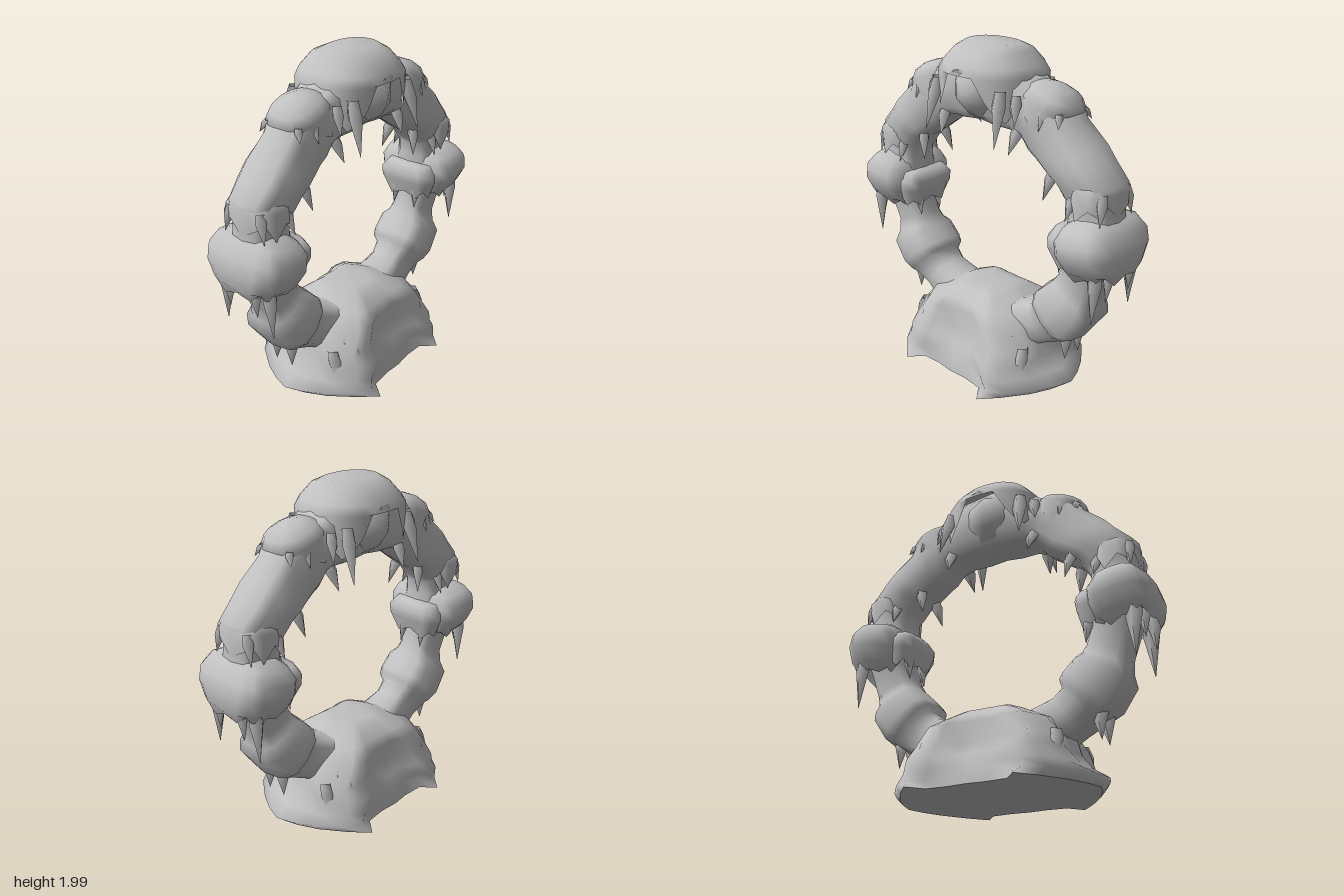
import * as THREE from 'three';
import { mergeVertices } from 'three/addons/utils/BufferGeometryUtils.js';

const stone = new THREE.MeshStandardMaterial({ color: 0xc0c0c0, side: THREE.DoubleSide });
stone.name = 'pale grey';

// Skin over rings of points; a repeated ring gives a sharp edge
function loft(rings, closed = false) {
  const n = rings[0].length, idx = [];
  const last = closed ? rings.length : rings.length - 1;
  for (let i = 0; i < last; i++) for (let j = 0; j < n; j++) {
    const i2 = (i + 1) % rings.length, j2 = (j + 1) % n;
    const a = i * n + j, b = i * n + j2, c = i2 * n + j2, d = i2 * n + j;
    idx.push(a, d, c, a, c, b);
  }
  const g = new THREE.BufferGeometry();
  g.setAttribute('position', new THREE.Float32BufferAttribute(rings.flat(2), 3));
  g.setIndex(idx);
  g.computeVertexNormals();
  return g;
}

// Lumpy rounded mass
function lump(rx, ry, rz, seed, rough) {
  let g = new THREE.IcosahedronGeometry(1, 1);
  g.deleteAttribute('uv');
  g.deleteAttribute('normal');
  g = mergeVertices(g, 1e-3);
  const p = g.attributes.position;
  for (let i = 0; i < p.count; i++) {
    const x = p.getX(i), y = p.getY(i), z = p.getZ(i);
    const k = 1 + rough * (Math.sin(5 * x + seed) + Math.sin(4 * y + 2 * seed) * Math.cos(5 * z + seed));
    p.setXYZ(i, x * k * rx, y * k * ry, z * k * rz);
  }
  g.computeVertexNormals();
  return g;
}

const sp = (v, e) => Math.sign(v) * Math.abs(v) ** e;

// Snow cap: levels of [y, half x, half z], with a jagged hem; a lower e is squarer
function cap(levels, drops, n, e = 0.75) {
  return loft(levels.map(([y, hx, hz], k) => Array.from({ length: n }, (_, j) => {
    const a = j / n * Math.PI * 2;
    const hem = k === 0 ? drops[j % drops.length] : 0;
    return [hx * sp(Math.cos(a), e), y - hem, hz * sp(Math.sin(a), e)];
  })));
}

// Icicle: four-sided spindle from a buried root to its tip
function icicleGeometry(root, tip, r) {
  const ring = (t, rad) => [0, 1, 2, 3].map((k) => {
    const a = k * Math.PI / 2;
    return [
      root[0] + (tip[0] - root[0]) * t + rad * Math.cos(a),
      root[1] + (tip[1] - root[1]) * t,
      root[2] + (tip[2] - root[2]) * t + rad * Math.sin(a),
    ];
  });
  return loft([ring(1, 0), ring(0.3, r), ring(0, r * 0.8)]);
}

export function createModel() {
  const group = new THREE.Group();
  const add = (name, geo, x = 0, y = 0, z = 0, parent = group) => {
    const m = new THREE.Mesh(geo, stone);
    m.name = name;
    m.position.set(x, y, z);
    parent.add(m);
    return m;
  };

  // Ring with its bulges: [degrees from the top, inner radius, outer radius, half depth]
  const half = [
    [0, 0.54, 0.96, 0.18], [12, 0.54, 0.95, 0.18], [22, 0.57, 0.89, 0.16], [30, 0.58, 0.91, 0.15],
    [38, 0.56, 0.93, 0.16], [43, 0.565, 0.9, 0.15], [54, 0.595, 0.92, 0.165], [60, 0.63, 0.93, 0.165],
    [67.5, 0.64, 0.975, 0.15], [71, 0.65, 0.94, 0.13], [78, 0.63, 0.92, 0.13], [90, 0.6, 0.92, 0.16],
    [100, 0.62, 0.88, 0.13], [111, 0.605, 0.87, 0.115], [116, 0.6, 0.89, 0.135], [120, 0.585, 0.935, 0.18],
    [130, 0.565, 0.935, 0.185], [134.5, 0.57, 0.91, 0.17], [137, 0.61, 0.9, 0.14], [144, 0.61, 0.88, 0.125],
    [160, 0.59, 0.88, 0.16], [180, 0.54, 0.9, 0.18],
  ];
  const stations = [...half, ...half.slice(1, -1).reverse().map(([a, ...r]) => [360 - a, ...r])];
  add('ring', loft(stations.map(([deg, ri, ro, hz]) => Array.from({ length: 12 }, (_, j) => {
    const t = deg * Math.PI / 180, f = j / 12 * Math.PI * 2;
    const r = (ri + ro) / 2 + (ro - ri) / 2 * sp(Math.cos(f), 0.7);
    return [Math.sin(t) * r, 1 + Math.cos(t) * r, -hz * sp(Math.sin(f), 0.7)];
  })), true));

  // Base mound: a quarter outline mirrored round, shrinking upward
  const q = [[0.64, 0], [0.61, 0.1], [0.55, 0.22], [0.44, 0.37], [0.34, 0.48], [0.26, 0.39], [0.12, 0.38], [0, 0.39]];
  const top = [...q, ...q.slice(0, -1).reverse().map(([x, z]) => [-x, z])];
  const outline = [...top, ...top.slice(1, -1).reverse().map(([x, z]) => [x, -z])];
  // Level: [y, x scale, z scale, corner reach, dent in front and behind, dent at the ends]
  const layer = ([y, sx, sz, reach, dent, end]) => outline.map(([x, z]) => [
    x * sx * (Math.abs(z) < 0.15 ? 1 - end : 1), y,
    Math.max(-reach, Math.min(reach, z)) * sz * (Math.abs(x) < 0.2 ? 1 - dent : 1),
  ]);
  add('base', loft([
    [0, 0, 0, 0.48, 0, 0], [0, 0.92, 0.98, 0.48, 0, 0], [0, 0.92, 0.98, 0.48, 0, 0],
    [0.045, 1, 0.96, 0.44, 0, 0], [0.1, 0.91, 0.96, 0.42, 0.05, 0.05], [0.18, 0.87, 0.96, 0.4, 0.14, 0.12],
    [0.25, 0.84, 0.82, 0.39, 0.14, 0.12], [0.37, 0.66, 0.78, 0.39, 0.1, 0], [0.42, 0.5, 0.62, 0.39, 0.02, 0],
    [0.475, 0.32, 0.42, 0.39, 0, 0], [0.49, 0.2, 0.25, 0.39, 0, 0], [0.49, 0, 0, 0.39, 0, 0],
  ].map(layer)));

  // Keystone lump and the snow cap over it
  add('keystone', lump(0.22, 0.19, 0.245, 1, 0.03), 0, 1.73, 0);
  add('topCap', cap(
    [[1.73, 0.32, 0.265], [1.83, 0.32, 0.275], [1.88, 0.28, 0.26], [1.95, 0.22, 0.2], [1.985, 0.17, 0.12], [1.99, 0, 0]],
    [0.0, 0.02, 0.06, 0.13, 0.1, 0.02, -0.12, -0.14, -0.12, 0.02, 0.1, 0.13, 0.06, 0.02], 28, 0.85));

  for (const s of [1, -1]) {
    const side = new THREE.Group();
    side.name = s > 0 ? 'leftSide' : 'rightSide';
    group.add(side);

    // Shoulder snow beside the top
    const shoulder = add('shoulderCap', cap(
      [[-0.08, 0.16, 0.16], [0, 0.165, 0.165], [0.05, 0.14, 0.13], [0.08, 0.07, 0.07], [0.085, 0, 0]],
      [0.02, 0.09, 0, 0.07, 0.01, 0.1, 0], 14, 0.85), s * 0.445, 1.73, 0, side);
    shoulder.rotation.z = -s * 0.33;

    // Snow mass round the middle, with an inner ledge and a small cap above
    const mass = add('sideLump', cap(
      [[-0.13, 0.14, 0.17], [-0.11, 0.175, 0.215], [-0.02, 0.195, 0.265], [0.06, 0.185, 0.27],
        [0.13, 0.14, 0.225], [0.17, 0.08, 0.12], [0.17, 0, 0]],
      [0.02, 0.05, 0, 0.04], 16, 0.65), s * 0.8, 1.01, 0, side);
    mass.rotation.z = s * 0.15;
    add('innerLedge', cap(
      [[0.9, 0.07, 0.15], [0.97, 0.1, 0.19], [1.03, 0.11, 0.19], [1.08, 0.08, 0.15], [1.09, 0, 0]],
      [0, 0.04, 0.01, 0.05], 12, 0.65), s * 0.635, 0, 0, side);
    add('upperCap', cap(
      [[1.27, 0.125, 0.165], [1.33, 0.125, 0.17], [1.38, 0.09, 0.13], [1.41, 0.04, 0.07], [1.41, 0, 0]],
      [0.08, 0, 0.05, 0.02, 0.1, 0, 0.03], 14), s * 0.775, 0, 0, side);

    for (const f of [1, -1]) {
      // Icicles in front and behind: root x, y, z, tip x, y, z, radius
      for (const [x, y, z, tx, ty, tz, r] of [
        [0.24, 1.78, 0.2, 0.27, 1.48, 0.28, 0.05], [0.31, 1.76, 0.15, 0.34, 1.6, 0.2, 0.04],
        [0.47, 1.74, 0.11, 0.48, 1.6, 0.17, 0.035], [0.56, 1.7, 0.1, 0.59, 1.63, 0.14, 0.03],
        [0.29, 1.58, 0.1, 0.27, 1.42, 0.17, 0.045], [0.52, 1.38, 0.08, 0.48, 1.2, 0.12, 0.04],
        [0.88, 0.97, 0.15, 0.88, 0.61, 0.17, 0.05], [0.92, 0.95, 0.09, 0.92, 0.74, 0.1, 0.04],
        [0.6, 0.97, 0.07, 0.575, 0.78, 0.08, 0.04], [0.68, 1.3, 0.1, 0.67, 1.15, 0.16, 0.04],
        [0.86, 1.34, 0.1, 0.88, 1.17, 0.14, 0.04], [0.62, 0.44, 0.05, 0.63, 0.23, 0.06, 0.05],
        [0.32, 0.34, 0.22, 0.33, 0.12, 0.36, 0.05], [0.42, 0.28, 0.19, 0.45, 0.08, 0.27, 0.05],
      ]) add('icicle', icicleGeometry([s * x, y, f * z], [s * tx, ty, f * tz], r), 0, 0, 0, side);
    }
  }
  return group;
}
